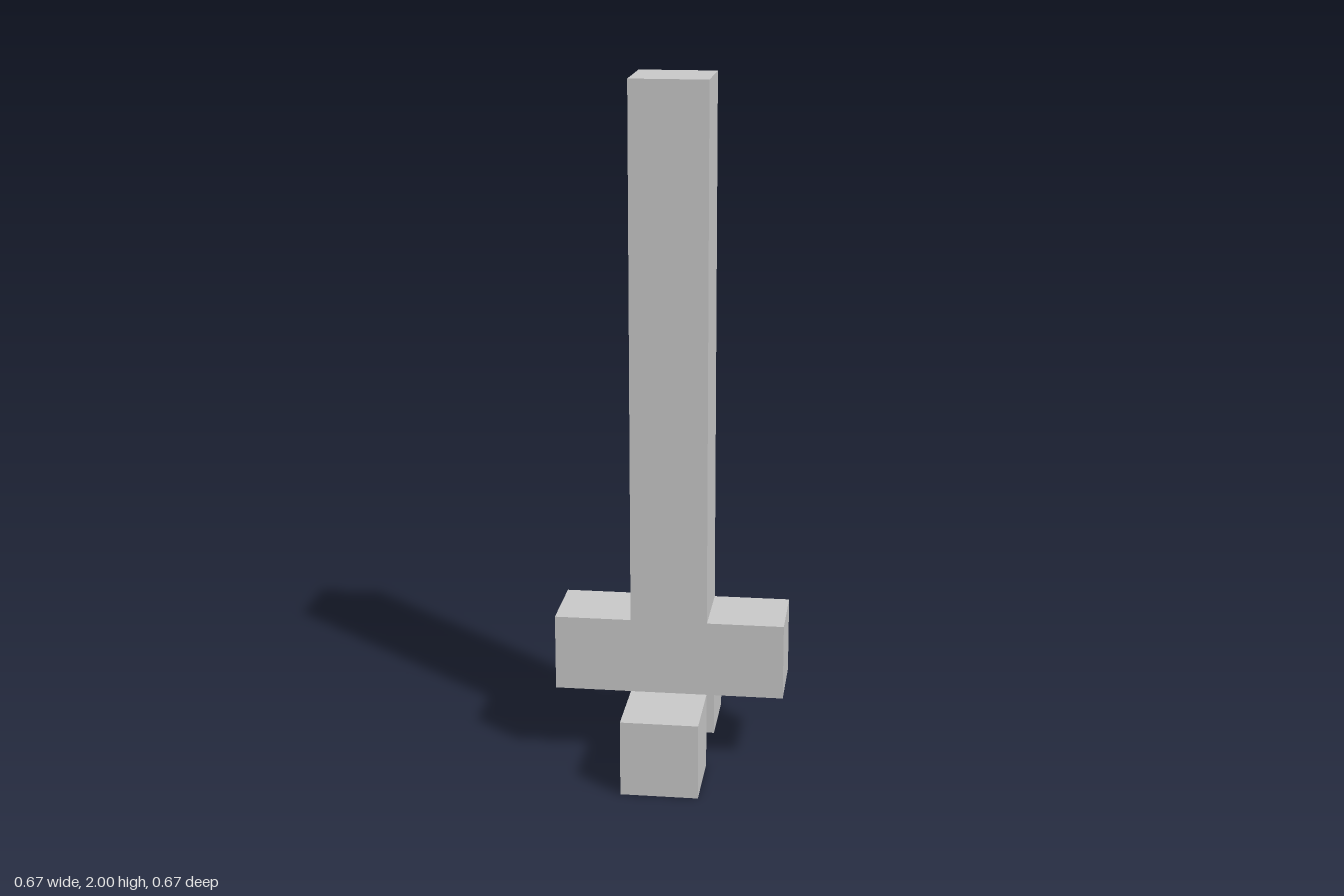
import * as THREE from 'three';

const U = 2 / 9; // the whole model sits on a grid of this cube size

export function createModel() {
  const model = new THREE.Group();
  const material = new THREE.MeshStandardMaterial({ color: 0xcccccc, flatShading: true });

  // Tall square post and its crossbar: one upside-down T, one unit thick
  const outline = [
    [-1.5, 1], [1.5, 1], [1.5, 2], [0.5, 2],
    [0.5, 9], [-0.5, 9], [-0.5, 2], [-1.5, 2],
  ].map(([x, y]) => new THREE.Vector2(x * U, y * U));
  const postGeometry = new THREE.ExtrudeGeometry(new THREE.Shape(outline), { depth: U, bevelEnabled: false });
  postGeometry.translate(0, 0, -U / 2);
  const post = new THREE.Mesh(postGeometry, material);
  post.name = 'postWithCrossbar';
  model.add(post);

  // Cube feet, touching the crossbar's lower front and back edges
  for (const [name, side] of [['frontFoot', 1], ['backFoot', -1]]) {
    const foot = new THREE.Mesh(new THREE.BoxGeometry(U, U, U), material);
    foot.name = name;
    foot.position.set(0, U / 2, side * U);
    model.add(foot);
  }

  return model;
}
